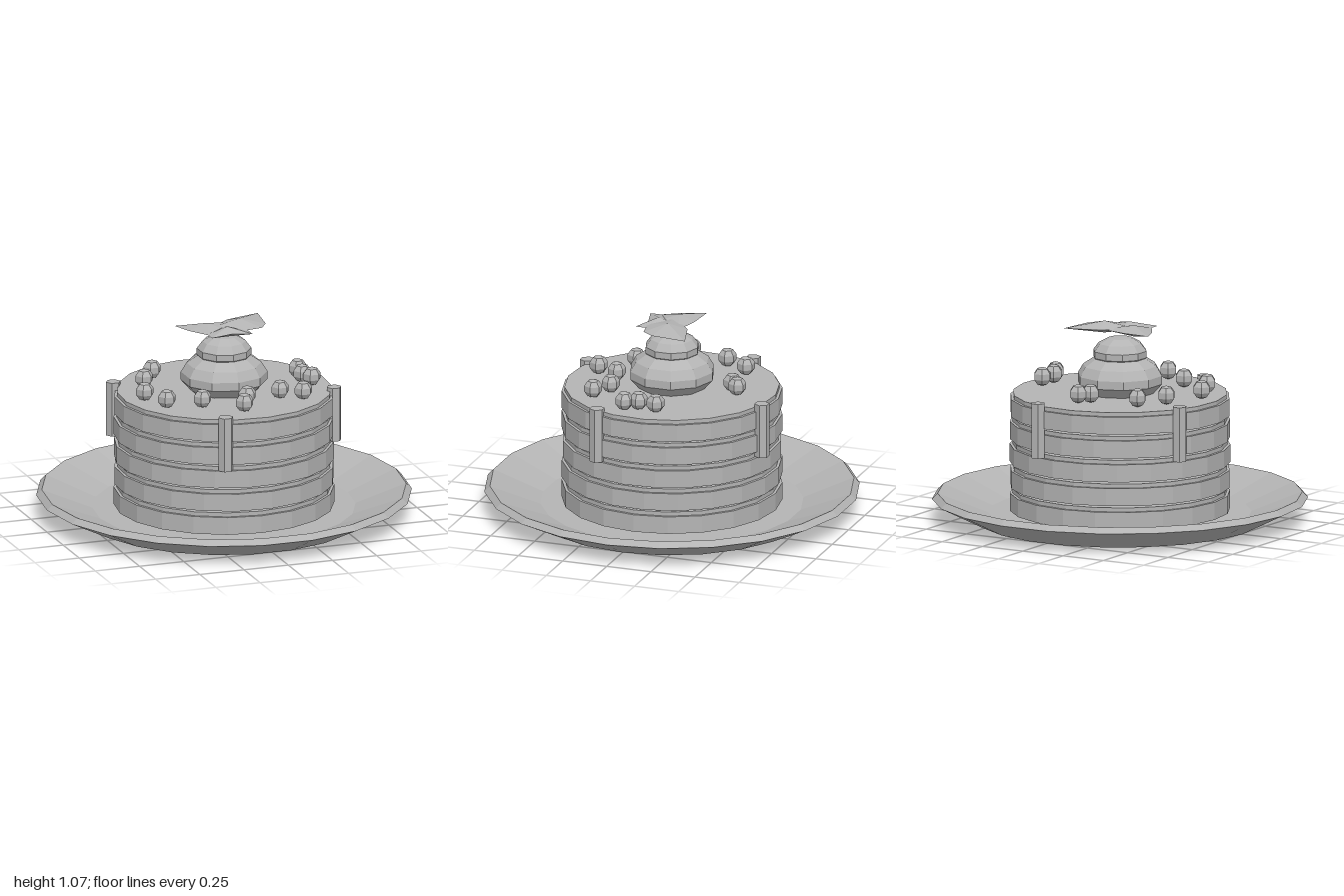
import * as THREE from 'three';

const grey = new THREE.MeshStandardMaterial({ color: 0xb4b4b4, flatShading: true });
grey.name = 'plain grey';

function add(parent, name, geometry, x = 0, y = 0, z = 0, turn = 0) {
  const mesh = new THREE.Mesh(geometry, grey);
  mesh.name = name;
  mesh.position.set(x, y, z);
  mesh.rotation.y = turn;
  parent.add(mesh);
  return mesh;
}

const lathe = (profile, sides) =>
  new THREE.LatheGeometry(profile.map(([r, y]) => new THREE.Vector2(r, y)), sides);

// Flat faceted leaf: an outline with a raised and a lowered middle point.
// The outline runs clockwise as seen from above.
function leafGeometry(outline, [cx, cz], edgeY, thick) {
  const pos = [];
  outline.forEach(([x, z], i) => {
    const [nx, nz] = outline[(i + 1) % outline.length];
    pos.push(cx, edgeY + thick, cz, nx, edgeY, nz, x, edgeY, z);
    pos.push(cx, edgeY - thick, cz, x, edgeY, z, nx, edgeY, nz);
  });
  const g = new THREE.BufferGeometry();
  g.setAttribute('position', new THREE.Float32BufferAttribute(pos, 3));
  g.computeVertexNormals();
  return g;
}

export function createModel() {
  const model = new THREE.Group();
  model.name = 'layerCake';

  // Shallow plate
  add(model, 'plate', lathe(
    [[0, 0], [0.76, 0], [1, 0.12], [0.97, 0.15], [0.7, 0.045], [0, 0.045]], 22), 0, 0, 0, Math.PI / 2);

  // Five sponge layers, each topped with a narrower cream disc, with slim gaps between
  const layers = new THREE.Group();
  layers.name = 'layers';
  model.add(layers);
  for (let i = 0; i < 5; i++) {
    const base = 0.06 + i * 0.129;
    add(layers, 'spongeLayer', new THREE.CylinderGeometry(0.587, 0.587, 0.095, 20), 0, base + 0.0475, 0, i * 0.1);
    add(layers, 'creamLayer', new THREE.CylinderGeometry(0.572, 0.572, 0.022, 20), 0, base + 0.106, 0, i * 0.1);
  }

  // Hexagonal drips down the side
  const drip = new THREE.CylinderGeometry(0.04, 0.04, 0.295, 6);
  for (const [x, z] of [[0.165, -0.57], [-0.53, -0.265], [0.54, 0.225], [-0.19, 0.55]])
    add(model, 'drip', drip, x, 0.565, z, Math.PI / 2);

  // Berries scattered on top
  const berry = new THREE.SphereGeometry(0.051, 6, 5);
  const spots = [
    [-0.02, -0.335], [0.03, -0.38], [-0.295, -0.31], [-0.39, -0.17], [-0.47, 0.06],
    [-0.405, 0.225], [-0.225, 0.285], [0.02, 0.305], [-0.04, 0.43], [0.22, 0.265],
    [0.33, 0.325], [0.46, 0.1], [0.43, 0.03], [0.44, -0.07],
  ];
  for (const [x, z] of spots) add(model, 'berry', berry, x, 0.745, z);

  // Two-tier dollop of cream
  add(model, 'creamDollop', lathe([
    [0, 0.68], [0.17, 0.68], [0.23, 0.745], [0.23, 0.79], [0.2, 0.84], [0.14, 0.88],
    [0.145, 0.885], [0.145, 0.92], [0.115, 0.96], [0.065, 0.987], [0, 0.99]], 10), 0, 0, 0, Math.PI);

  // Three overlapping leaves hovering over the dollop
  const leaves = new THREE.Group();
  leaves.name = 'leaves';
  model.add(leaves);
  add(leaves, 'rightLeaf', leafGeometry(
    [[0.25, -0.165], [0.225, 0.03], [0.18, 0.095], [0.05, 0.12], [-0.1, 0.02], [0.06, -0.11]],
    [0.09, -0.01], 1.04, 0.032));
  add(leaves, 'leftLeaf', leafGeometry(
    [[-0.24, -0.11], [-0.08, -0.1], [0.08, -0.06], [0, 0.1], [-0.13, 0.11], [-0.2, 0]],
    [-0.09, -0.01], 1.035, 0.03));
  add(leaves, 'frontLeaf', leafGeometry(
    [[0.1, 0.17], [0, 0.135], [-0.13, 0.17], [-0.13, 0.1], [0, -0.02], [0.1, 0.1]],
    [-0.01, 0.08], 1.035, 0.028));

  return model;
}
